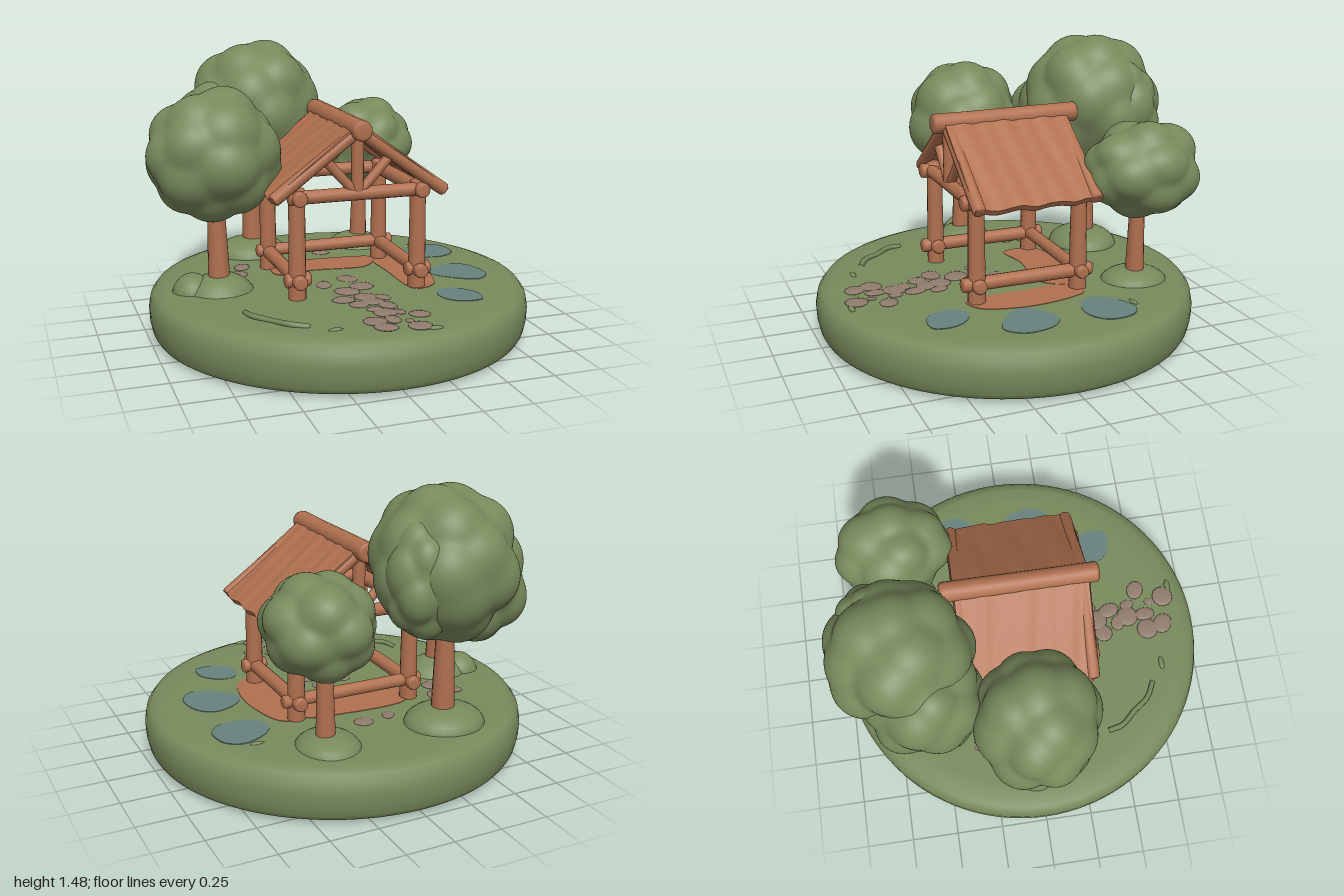
import * as THREE from 'three';
import { mergeVertices } from 'three/addons/utils/BufferGeometryUtils.js';

const paint = (name, color) => {
  const m = new THREE.MeshStandardMaterial({ color });
  m.name = name;
  return m;
};

// Seeded random numbers, so every build is the same
function seeded(seed) {
  let s = seed;
  return () => (s = (s * 16807) % 2147483647) / 2147483647;
}

export function createModel() {
  const root = new THREE.Group();
  const green = paint('leaf green', 0x788a5c);
  const wood = paint('wood brown', 0xb0704f);
  const water = paint('pond blue', 0x67827d);
  const stone = paint('path stone', 0x917c6e);
  const V = (x, y, z) => new THREE.Vector3(x, y, z);

  const add = (name, geo, mat, parent = root) => {
    const m = new THREE.Mesh(geo, mat);
    m.name = name;
    parent.add(m);
    return m;
  };
  const group = (name) => {
    const g = new THREE.Group();
    g.name = name;
    root.add(g);
    return g;
  };

  // Round-ended log between two points, tapering from r to r2
  const log = (name, a, b, r, parent, r2 = r) => {
    const len = a.distanceTo(b);
    const pts = [[0, 0], [r * 0.7, 0], [r * 0.93, r * 0.12], [r, r * 0.35], [r * 0.97, len * 0.3],
      [r2, len * 0.7], [r2, len - r2 * 0.35], [r2 * 0.93, len - r2 * 0.12], [r2 * 0.7, len], [0, len]];
    const geo = new THREE.LatheGeometry(pts.map((p) => new THREE.Vector2(...p)), 14);
    const m = add(name, geo, wood, parent);
    m.position.copy(a);
    m.quaternion.setFromUnitVectors(V(0, 1, 0), b.clone().sub(a).normalize());
  };

  // Flat plate with a smooth outline given as [x, z] points
  const plate = (name, outline, y0, y1, mat) => {
    const curve = new THREE.CatmullRomCurve3(outline.map(([x, z]) => V(x, -z, 0)), true);
    const shape = new THREE.Shape(curve.getPoints(40).map((p) => new THREE.Vector2(p.x, p.y)));
    const geo = new THREE.ExtrudeGeometry(shape, { depth: y1 - y0, bevelEnabled: false });
    geo.rotateX(-Math.PI / 2);
    add(name, geo, mat).position.y = y0;
  };

  // Base: thick rounded disc, hollow underneath
  const rim = [[0, 0.2], [0.78, 0.2], [0.83, 0.185], [0.9, 0.1], [0.93, 0.04], [0.95, 0.027], [0.97, 0.03],
    [0.985, 0.055], [0.997, 0.11], [1, 0.17], [0.99, 0.222], [0.965, 0.256], [0.92, 0.272], [0.84, 0.276],
    [0.6, 0.278], [0, 0.28]];
  add('groundDisc', new THREE.LatheGeometry(rim.map((p) => new THREE.Vector2(...p)), 96), green);

  // Ponds, deep enough to show under the ground
  const ponds = [
    [[0.49, -0.28], [0.54, -0.37], [0.68, -0.43], [0.76, -0.38], [0.775, -0.24], [0.69, -0.17], [0.55, -0.19]],
    [[0.49, 0.12], [0.54, 0.03], [0.67, -0.02], [0.75, 0.04], [0.775, 0.2], [0.7, 0.28], [0.57, 0.22]],
    [[0.38, 0.46], [0.42, 0.38], [0.5, 0.38], [0.58, 0.47], [0.57, 0.58], [0.48, 0.59], [0.41, 0.55]],
  ];
  ponds.forEach((p, i) => plate('pond' + (i + 1), p, 0.19, 0.28, water));

  // Earth trodden beside and inside the hut
  plate('sideEarth', [[0.31, 0.33], [0.42, 0.3], [0.48, 0.14], [0.48, -0.08], [0.41, -0.28], [0.29, -0.28], [0.28, 0]],
    0.277, 0.281, wood);
  plate('backEarth', [[-0.3, -0.12], [-0.1, -0.14], [0.2, -0.12], [0.3, -0.28], [0.1, -0.33], [-0.28, -0.31]],
    0.277, 0.282, wood);

  // Stepping stones: x, z, radius
  const path = group('stonePath');
  const steps = [[-0.1, 0.38, 0.06], [0.02, 0.37, 0.06], [0.1, 0.4, 0.05], [0.03, 0.45, 0.06], [-0.05, 0.47, 0.05],
    [0.08, 0.52, 0.06], [0.0, 0.56, 0.045], [0.03, 0.62, 0.06], [0.1, 0.63, 0.04], [0.18, 0.69, 0.055],
    [-0.06, 0.72, 0.06], [0.03, 0.72, 0.055], [-0.04, 0.81, 0.06], [0.12, 0.84, 0.06], [0.1, 0.76, 0.03],
    [-0.04, 0.26, 0.07], [0.06, 0.2, 0.065], [-0.12, 0.12, 0.06], [0.03, 0.06, 0.06], [-0.5, -0.2, 0.055],
    [-0.45, -0.32, 0.06], [-0.58, -0.3, 0.045], [0.05, -0.46, 0.05], [-0.1, -0.44, 0.045]];
  steps.forEach(([x, z, r], i) => {
    const s = add('steppingStone', new THREE.SphereGeometry(r, 14, 8), stone, path);
    s.scale.set(1, 0.15, 0.84 + 0.16 * Math.sin(i * 2.1));
    s.position.set(x, 0.279, z);
    s.rotation.y = i;
  });

  // Ragged ridge and low tufts on the grass
  const ridge = new THREE.CatmullRomCurve3([V(-0.61, 0.278, 0.4), V(-0.59, 0.284, 0.48), V(-0.52, 0.28, 0.56),
    V(-0.46, 0.284, 0.64), V(-0.37, 0.276, 0.69)]);
  add('grassRidge', new THREE.TubeGeometry(ridge, 20, 0.016, 6), green);
  for (const [x, z] of [[0.62, -0.45], [-0.27, 0.76], [0.18, 0.88]]) {
    const t = add('grassTuft', new THREE.SphereGeometry(0.04, 10, 6), green);
    t.scale.set(1, 0.3, 0.4);
    t.position.set(x, 0.274, z);
  }

  // Hut frame: corner posts, sills and top beams
  const hut = group('hut');
  const L = -0.31, R = 0.335, F = 0.28, B = -0.275;
  for (const x of [L, R]) {
    for (const z of [F, B]) log('cornerPost', V(x, 0.25, z), V(x, 0.845, z), 0.046, hut, 0.042);
    log('sideSill', V(x, 0.375, 0.36), V(x, 0.375, -0.35), 0.037, hut);
    log('sideTopBeam', V(x, 0.8, 0.36), V(x, 0.8, -0.36), 0.039, hut);
    log('frontSillStub', V(x - 0.065, 0.375, F), V(x + 0.07, 0.375, F), 0.037, hut);
  }
  log('backSill', V(-0.375, 0.38, B), V(0.41, 0.38, B), 0.034, hut);

  // Front and back gable trusses
  const eaves = { 1: [0.47, 0.785], '-1': [-0.44, 0.795] };
  for (const z of [0.3, -0.3]) {
    const rz = z + Math.sign(z) * 0.01;
    log('crossBeam', V(-0.36, 0.8, z), V(0.385, 0.8, z), 0.035, hut);
    log('kingPost', V(0, 0.8, z), V(0, 1.1, z), 0.032, hut);
    for (const s of [1, -1]) {
      log('rafter', V(0, 1.12, rz), V(eaves[s][0], eaves[s][1], rz), 0.034, hut);
      log('strut', V(s * 0.015, 0.81, z), V(s * 0.18, 0.99, z), 0.025, hut);
    }
  }
  log('ridgeLog', V(0, 1.125, 0.39), V(0, 1.13, -0.405), 0.052, hut);

  // Roof: one gently rippled panel on each slope with a ragged eave
  for (const s of [1, -1]) {
    const [ex, ey] = eaves[s];
    const len = Math.hypot(ex, 1.14 - ey);
    const geo = new THREE.BoxGeometry(len, 0.036, 0.67, 8, 1, 56);
    geo.translate(len / 2, 0, 0);
    const pos = geo.attributes.position;
    for (let i = 0; i < pos.count; i++) {
      const x = pos.getX(i), z = pos.getZ(i), t = x / len;
      const ripple = 0.0022 * Math.sin(z * 58 + t * 3) + 0.002 * Math.sin(z * 27 + t * 5);
      pos.setX(i, x + t * t * 0.006 * Math.sin(z * 33 + s));
      pos.setY(i, pos.getY(i) + s * (0.004 + ripple));
    }
    geo.computeVertexNormals();
    const panel = add(s > 0 ? 'leftRoofPanel' : 'rightRoofPanel', geo, wood, hut);
    panel.position.set(0, 1.135, 0);
    panel.rotation.z = Math.atan2(ey - 1.14, ex);
  }

  // Crown: ball pushed out to the softened union of broad lobes, then sized to its half extents
  const crown = (name, centre, size, seed, lobes, parent) => {
    const rnd = seeded(seed);
    const balls = [{ p: V(0, 0, 0), r: 0.86 }];
    for (let i = 0; i < lobes; i++) {
      const y = 1 - (2 * i + 1) / lobes, a = i * 2.39996 + rnd() * 0.5, w = Math.sqrt(1 - y * y);
      const r = 0.42 + rnd() * 0.1;
      balls.push({ p: V(Math.cos(a) * w, y, Math.sin(a) * w).multiplyScalar(0.97 - r + rnd() * 0.06), r });
    }
    let geo = new THREE.IcosahedronGeometry(1, 18);
    geo.deleteAttribute('normal');
    geo.deleteAttribute('uv');
    geo = mergeVertices(geo);
    const pos = geo.attributes.position;
    const d = V(0, 0, 0);
    for (let i = 0; i < pos.count; i++) {
      d.fromBufferAttribute(pos, i).normalize();
      let sum = 0;
      for (const { p, r } of balls) {
        const along = d.dot(p), h = r * r - p.lengthSq() + along * along;
        if (h > 0) sum += Math.max(0, along + Math.sqrt(h)) ** 30;
      }
      d.multiplyScalar(sum ** (1 / 30));
      pos.setXYZ(i, d.x, d.y, d.z);
    }
    geo.center();
    const half = geo.boundingBox.getSize(V(0, 0, 0)).multiplyScalar(0.5);
    geo.scale(size[0] / half.x, size[1] / half.y, size[2] / half.z);
    geo.computeVertexNormals();
    add(name, geo, green, parent).position.set(...centre);
  };

  // Mound around a trunk
  const mound = (x, y, z, rx, ry, rz, parent) => {
    const m = add('mound', new THREE.SphereGeometry(1, 24, 14), green, parent);
    m.position.set(x, y, z);
    m.scale.set(rx, ry, rz);
  };

  const sideTree = group('sideTree');
  log('trunk', V(-0.645, 0.15, 0.01), V(-0.655, 0.85, 0), 0.058, sideTree, 0.046);
  log('root', V(-0.63, 0.01, 0.02), V(-0.64, 0.15, 0.01), 0.033, sideTree);
  crown('crown', [-0.66, 0.985, -0.01], [0.342, 0.337, 0.322], 5, 20, sideTree);
  mound(-0.64, 0.21, 0, 0.19, 0.155, 0.18, sideTree);
  mound(-0.78, 0.25, -0.03, 0.105, 0.115, 0.11, sideTree);

  // Back tree: a main crown with fuller lobes at two corners
  const bigTree = group('bigTree');
  log('trunk', V(-0.31, 0.17, -0.62), V(-0.31, 0.95, -0.62), 0.06, bigTree, 0.047);
  crown('crown', [-0.275, 1.11, -0.625], [0.37, 0.38, 0.367], 11, 22, bigTree);
  crown('sideCrown', [-0.475, 0.985, -0.55], [0.28, 0.325, 0.3], 23, 18, bigTree);
  crown('cornerCrown', [-0.115, 1.08, -0.74], [0.205, 0.28, 0.21], 37, 16, bigTree);
  mound(-0.32, 0.27, -0.62, 0.21, 0.1, 0.19, bigTree);

  const smallTree = group('smallTree');
  log('trunk', V(0.33, 0.14, -0.61), V(0.34, 0.85, -0.61), 0.05, smallTree, 0.04);
  crown('crown', [0.365, 0.892, -0.615], [0.277, 0.25, 0.305], 47, 17, smallTree);
  mound(0.32, 0.26, -0.61, 0.16, 0.08, 0.18, smallTree);

  return root;
}
